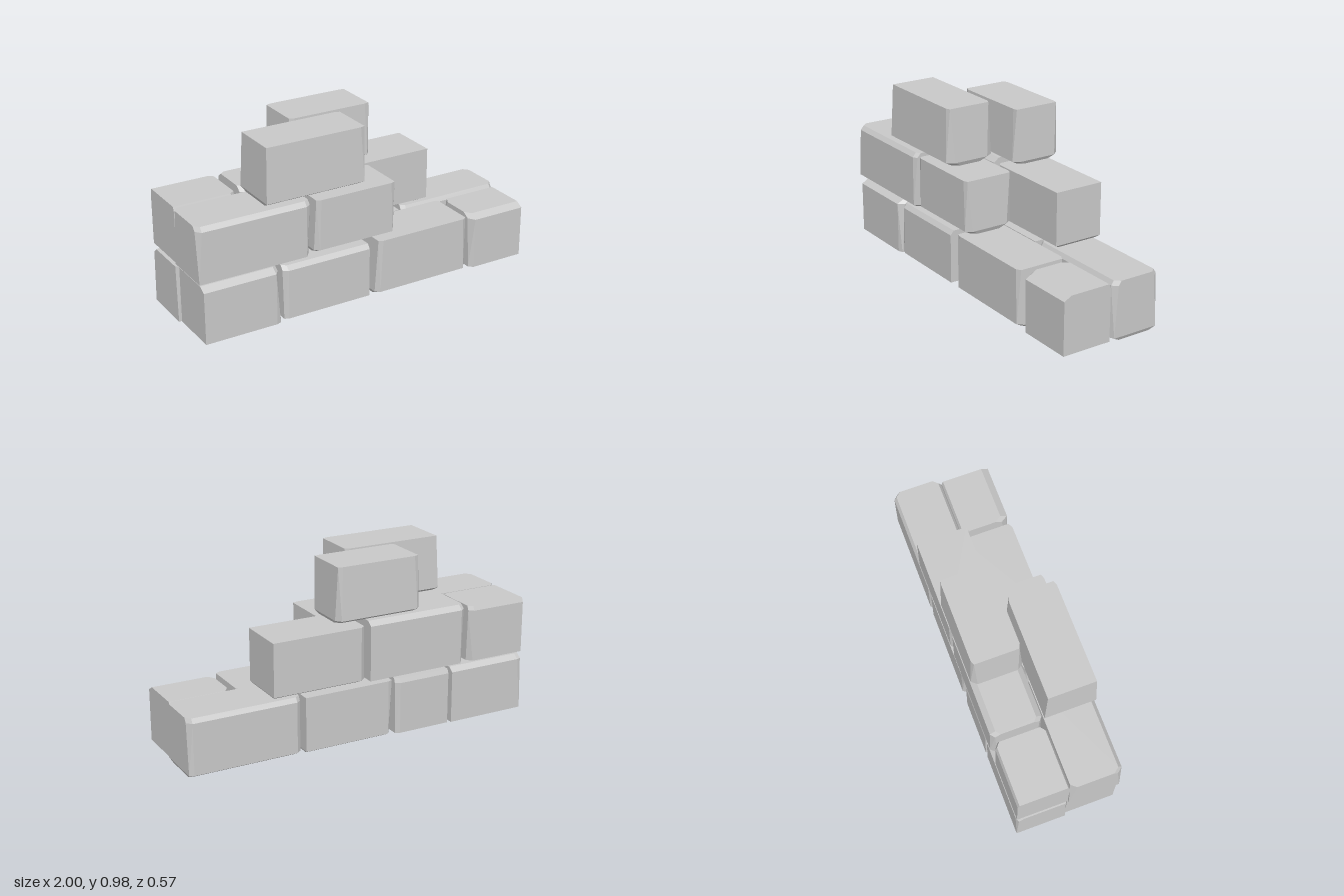
import * as THREE from 'three';
import { ConvexGeometry } from 'three/addons/geometries/ConvexGeometry.js';

const V = (x, y, z) => new THREE.Vector3(x, y, z);

// Rectangular cross-section at one height; l and r pinch the depth of each end
function ring(x0, x1, y, z0, z1, l, r) {
  const pts = [];
  for (const [x, inward, pinch] of [[x0, 1, l], [x1, -1, r]]) {
    pts.push(V(x, y, z0 + pinch), V(x, y, z1 - pinch));
    if (pinch > 0) pts.push(V(x + inward * 0.025, y, z0), V(x + inward * 0.025, y, z1));
  }
  return pts;
}

// Hand-cut block: worn bottom edge, optional worn top edges, pinched ends, taper upward
function block({ x, y, row, low = 0, front = 0, back = 0, l = [0, 0], r = [0, 0], taper = 0, lean = [0, 0] }) {
  const [x0, x1] = x, [y0, y1] = y;
  const z0 = row > 0 ? 0.002 : -0.283, z1 = row > 0 ? 0.283 : -0.002;
  const t0 = x0 + lean[0], t1 = x1 + lean[1];
  const edge = Math.max(front, back);
  const pts = ring(x0, x1, y0 + low, z0, z1, l[0], r[0]);
  if (low) pts.push(...ring(x0 + 0.01, x1 - 0.01, y0, z0 + low * 1.8, z1 - low * 1.8, l[0], r[0]));
  if (edge) pts.push(...ring(t0, t1, y1 - 0.024, z0 + taper, z1 - taper, l[1], r[1]));
  pts.push(...ring(t0, t1, y1, z0 + taper + back, z1 - taper - front, l[1], r[1]));
  return new ConvexGeometry(pts);
}

export function createModel() {
  const model = new THREE.Group();
  model.name = 'stoneBlockWall';
  const stone = new THREE.MeshStandardMaterial({ color: 0xc8c8c8 });
  stone.name = 'grey stone';

  const courses = {
    // Front row, from the ground up
    frontBottomCourse: [
      { x: [-0.98, -0.55], y: [0.012, 0.322], row: 1, front: 0.04, r: [0.01, 0.035] },
      { x: [-0.53, -0.02], y: [0.025, 0.322], row: 1, front: 0.02, l: [0.01, 0.02] },
      { x: [0.025, 0.615], y: [0.003, 0.324], row: 1, low: 0.022, l: [0.02, 0.01], r: [0.03, 0.015], lean: [0.015, -0.01] },
      { x: [0.64, 0.98], y: [0.012, 0.324], row: 1, front: 0.04, back: 0.01, l: [0.02, 0.04] },
    ],
    frontMiddleCourse: [
      { x: [-1, -0.37], y: [0.338, 0.652], row: 1, low: 0.012, front: 0.02, l: [0, 0.03], r: [0.035, 0.015] },
      { x: [-0.345, 0.145], y: [0.345, 0.645], row: 1, low: 0.022, l: [0.02, 0.01], r: [0.035, 0.01], lean: [0.01, -0.01] },
    ],
    frontTopCourse: [
      { x: [-0.62, -0.03], y: [0.67, 0.985], row: 1, low: 0.022, r: [0.04, 0.01], taper: 0.012, lean: [0.01, -0.015] },
    ],
    // Back row, from the ground up
    backBottomCourse: [
      { x: [-0.995, -0.54], y: [0.012, 0.325], row: -1, back: 0.03, l: [0, 0.01] },
      { x: [-0.515, -0.19], y: [0.015, 0.325], row: -1, back: 0.01, r: [0.01, 0.02] },
      { x: [-0.165, 0.35], y: [0.012, 0.325], row: -1, low: 0.015, l: [0.035, 0.01] },
      { x: [0.375, 1], y: [0.012, 0.335], row: -1, low: 0.02, back: 0.015, front: 0.015, l: [0.02, 0.02], r: [0.01, 0.028] },
    ],
    backMiddleCourse: [
      { x: [-0.99, -0.645], y: [0.345, 0.655], row: -1, back: 0.01, front: 0.01, r: [0.03, 0.02] },
      { x: [-0.615, -0.03], y: [0.345, 0.67], row: -1, back: 0.03, front: 0.03, l: [0.03, 0.02] },
      { x: [0, 0.53], y: [0.348, 0.65], row: -1, low: 0.012, l: [0.02, 0.02] },
    ],
    backTopCourse: [
      { x: [-0.335, 0.165], y: [0.683, 0.985], row: -1, low: 0.018, l: [0.03, 0.01], r: [0.03, 0.005], taper: 0.011, lean: [0.015, -0.01] },
    ],
  };

  for (const [name, blocks] of Object.entries(courses)) {
    const course = new THREE.Group();
    course.name = name;
    blocks.forEach((spec, i) => {
      const mesh = new THREE.Mesh(block(spec), stone);
      mesh.name = `stoneBlock${i + 1}`;
      course.add(mesh);
    });
    model.add(course);
  }
  return model;
}
